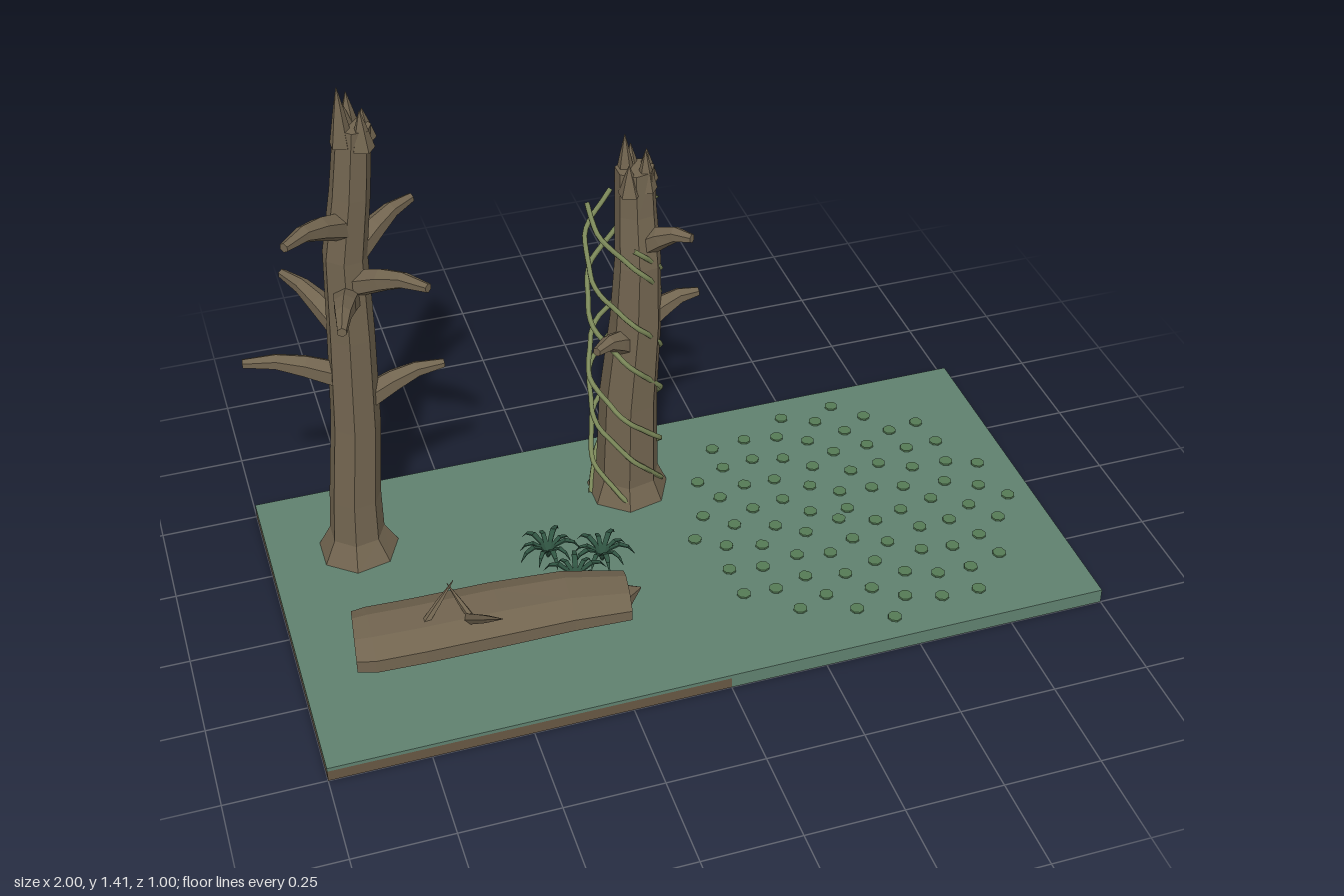
import * as THREE from 'three';

const mat = (name, color) => Object.assign(new THREE.MeshStandardMaterial({ color }), { name });
const V = (x, y, z) => new THREE.Vector3(x, y, z);

// Faceted tube through rings [x, y, z, radius]; wide and thick scale its cross-section.
function loft(rings, sides, { ref = V(0, 1, 0), wide = 1, thick = 1 } = {}) {
  const pts = rings.map(r => V(r[0], r[1], r[2]));
  const loops = pts.map((p, i) => {
    const t = pts[Math.min(i + 1, pts.length - 1)].clone().sub(pts[Math.max(i - 1, 0)]).normalize();
    const side = ref.clone().cross(t).normalize();
    const n = t.clone().cross(side);
    return Array.from({ length: sides }, (_, j) => {
      const a = (j + 0.5) / sides * Math.PI * 2;
      return p.clone().addScaledVector(side, Math.cos(a) * rings[i][3] * wide)
        .addScaledVector(n, Math.sin(a) * rings[i][3] * thick);
    });
  });
  const tri = [];
  const last = loops.length - 1;
  for (let j = 0; j < sides; j++) {
    const k = (j + 1) % sides;
    for (let i = 0; i < last; i++) {
      const a = loops[i][j], b = loops[i][k], c = loops[i + 1][k], d = loops[i + 1][j];
      tri.push(a, b, c, a, c, d);
    }
    tri.push(pts[0], loops[0][k], loops[0][j], pts[last], loops[last][j], loops[last][k]);
  }
  const g = new THREE.BufferGeometry().setFromPoints(tri);
  g.computeVertexNormals();
  return g;
}

export function createModel() {
  const root = new THREE.Group();
  root.name = 'swampDiorama';
  const wood = mat('deadWood', 0x71644f);
  const moss = mat('mossGround', 0x5f806e);
  const dirt = mat('dirt', 0x665643);
  const vineGreen = mat('vineGreen', 0x7f8c5c);
  const fernGreen = mat('fernGreen', 0x2f5341);
  const padGreen = mat('padGreen', 0x557a55);

  const add = (parent, name, geo, m, x = 0, y = 0, z = 0) => {
    const mesh = new THREE.Mesh(geo, m);
    mesh.name = name;
    mesh.position.set(x, y, z);
    parent.add(mesh);
    return mesh;
  };

  // Ground: dirt tile with a moss cap on one half, solid green tile on the other
  add(root, 'dirtTile', new THREE.BoxGeometry(1, 0.03, 1), dirt, -0.5, 0.015, 0);
  add(root, 'mossCap', new THREE.BoxGeometry(1, 0.01, 1), moss, -0.5, 0.035, 0);
  add(root, 'pondTile', new THREE.BoxGeometry(1, 0.04, 1), moss, 0.5, 0.02, 0);

  // Dead trees: bent trunk, upturned branch stubs, splintered crown
  function tree(name, trunk, branches, spikes) {
    const g = new THREE.Group();
    g.name = name;
    root.add(g);
    add(g, 'trunk', loft(trunk, 7, { ref: V(0, 0, 1) }), wood);
    for (const [x, y, z] of branches) {
      let k = 0;
      const baseY = y - 0.05;
      while (k < trunk.length - 2 && trunk[k + 1][1] < baseY) k++;
      const f = (baseY - trunk[k][1]) / (trunk[k + 1][1] - trunk[k][1]);
      const mix = i => trunk[k][i] + (trunk[k + 1][i] - trunk[k][i]) * f;
      const cx = mix(0), cz = mix(2);
      const at = (t, h, r) => [cx + (x - cx) * t, h, cz + (z - cz) * t, r];
      add(g, 'branch', loft([at(0.1, baseY - 0.01, 0.036), at(0.45, y - 0.02, 0.029),
        at(0.7, y, 0.021), at(1, y + 0.003, 0.012)], 6), wood);
    }
    for (const [x, y, z, h] of spikes) {
      add(g, 'splinter', loft([[x, y - h, z, 0.03], [x, y - h * 0.45, z, 0.015], [x, y, z, 0.001]],
        5, { ref: V(0, 0, 1) }), wood);
    }
  }

  tree('tallTree', [
    [-0.77, 0.04, -0.25, 0.105], [-0.77, 0.1, -0.25, 0.072], [-0.765, 0.22, -0.25, 0.067],
    [-0.745, 0.45, -0.25, 0.064], [-0.735, 0.72, -0.25, 0.06], [-0.73, 0.95, -0.25, 0.055],
    [-0.705, 1.12, -0.245, 0.05], [-0.685, 1.3, -0.243, 0.045],
  ], [
    [-1, 0.655, -0.29], [-0.51, 0.575, -0.25], [-0.73, 0.63, -0.5], [-0.86, 0.78, -0.465],
    [-0.54, 1.0, -0.365], [-0.57, 0.935, -0.065], [-0.79, 0.9, 0], [-0.89, 1.1, -0.085],
  ], [
    [-0.715, 1.41, -0.23, 0.15], [-0.688, 1.37, -0.275, 0.11], [-0.67, 1.35, -0.215, 0.1],
    [-0.657, 1.33, -0.26, 0.08], [-0.7, 1.35, -0.255, 0.09],
  ]);

  tree('vineTree', [
    [-0.03, 0.04, -0.27, 0.11], [-0.03, 0.1, -0.27, 0.085], [-0.025, 0.35, -0.265, 0.078],
    [-0.005, 0.6, -0.255, 0.068], [0, 0.78, -0.25, 0.06], [0, 0.92, -0.265, 0.054],
    [0, 1.04, -0.27, 0.05],
  ], [
    [0.16, 0.65, -0.25], [0.105, 0.89, -0.14], [-0.14, 0.59, -0.155],
  ], [
    [-0.02, 1.13, -0.285, 0.14], [0.02, 1.1, -0.245, 0.11], [0.035, 1.08, -0.285, 0.09],
    [-0.025, 1.07, -0.235, 0.08], [0, 1.09, -0.305, 0.1],
  ]);

  // Vines winding around the shorter tree
  for (let v = 0; v < 4; v++) {
    const top = [0.96, 0.93, 0.95, 0.86][v];
    const path = Array.from({ length: 30 }, (_, i) => {
      const t = i / 29;
      const a = v * Math.PI / 2 + t * Math.PI * 3;
      const r = 0.092 + 0.005 * Math.sin(i * 1.7 + v);
      return V(-0.035 + r * Math.cos(a), 0.04 + (top - 0.04) * t, -0.275 + r * Math.sin(a));
    });
    add(root, 'vine', new THREE.TubeGeometry(new THREE.CatmullRomCurve3(path), 64, 0.007, 5), vineGreen);
  }

  // Fallen log, swollen in the middle, with a broken tip and bare twigs
  const log = new THREE.Group();
  log.name = 'fallenLog';
  root.add(log);
  add(log, 'logBody', loft([
    [-0.86, 0.088, 0.15, 0.045], [-0.82, 0.088, 0.155, 0.049], [-0.7, 0.088, 0.16, 0.049],
    [-0.5, 0.088, 0.162, 0.049], [-0.32, 0.087, 0.168, 0.046], [-0.17, 0.083, 0.19, 0.038],
  ], 8, { wide: 2.2 }).translate(0, 0, 0), wood);
  add(log, 'brokenTip', loft([[-0.18, 0.08, 0.185, 0.035], [-0.13, 0.08, 0.17, 0.002]], 6), wood);
  for (const [a, b, r] of [
    [[-0.58, 0.12, 0.19], [-0.552, 0.345, 0.455], 0.015],
    [[-0.69, 0.12, 0.18], [-0.6, 0.2, 0.13], 0.011],
    [[-0.57, 0.12, 0.2], [-0.615, 0.19, 0.125], 0.01],
  ]) {
    const mid = a.map((c, i) => (c + b[i]) / 2);
    add(log, 'twig', loft([[...a, r], [...mid, r * 0.7], [...b, 0.001]], 5), wood);
  }

  // Ferns: rosettes of arching blades
  const blade = loft([[0, 0, 0, 0.004], [0.022, 0.04, 0, 0.009], [0.045, 0.055, 0, 0.01],
    [0.068, 0.048, 0, 0.007], [0.085, 0.025, 0, 0.001]], 4, { thick: 0.3 });
  for (const [x, z] of [[-0.31, -0.06], [-0.18, -0.005], [-0.27, 0.06]]) {
    const fern = new THREE.Group();
    fern.name = 'fern';
    fern.position.set(x, 0.04, z);
    root.add(fern);
    for (let i = 0; i < 10; i++) {
      const leaf = add(fern, 'leaf', blade, fernGreen);
      leaf.rotation.y = i / 10 * Math.PI * 2 + x * 9;
      leaf.scale.setScalar(i % 2 ? 0.85 : 1);
    }
  }

  // Floating pads in a sunflower spiral
  const padGeo = new THREE.CylinderGeometry(0.018, 0.018, 0.006, 8).toNonIndexed();
  padGeo.computeVertexNormals();
  for (let i = 0; i < 80; i++) {
    const a = i * Math.PI * (3 - Math.sqrt(5));
    const r = 0.45 * Math.sqrt(i / 80);
    add(root, 'pad', padGeo, padGreen, 0.5 + r * Math.cos(a), 0.042, r * Math.sin(a));
  }
  return root;
}
